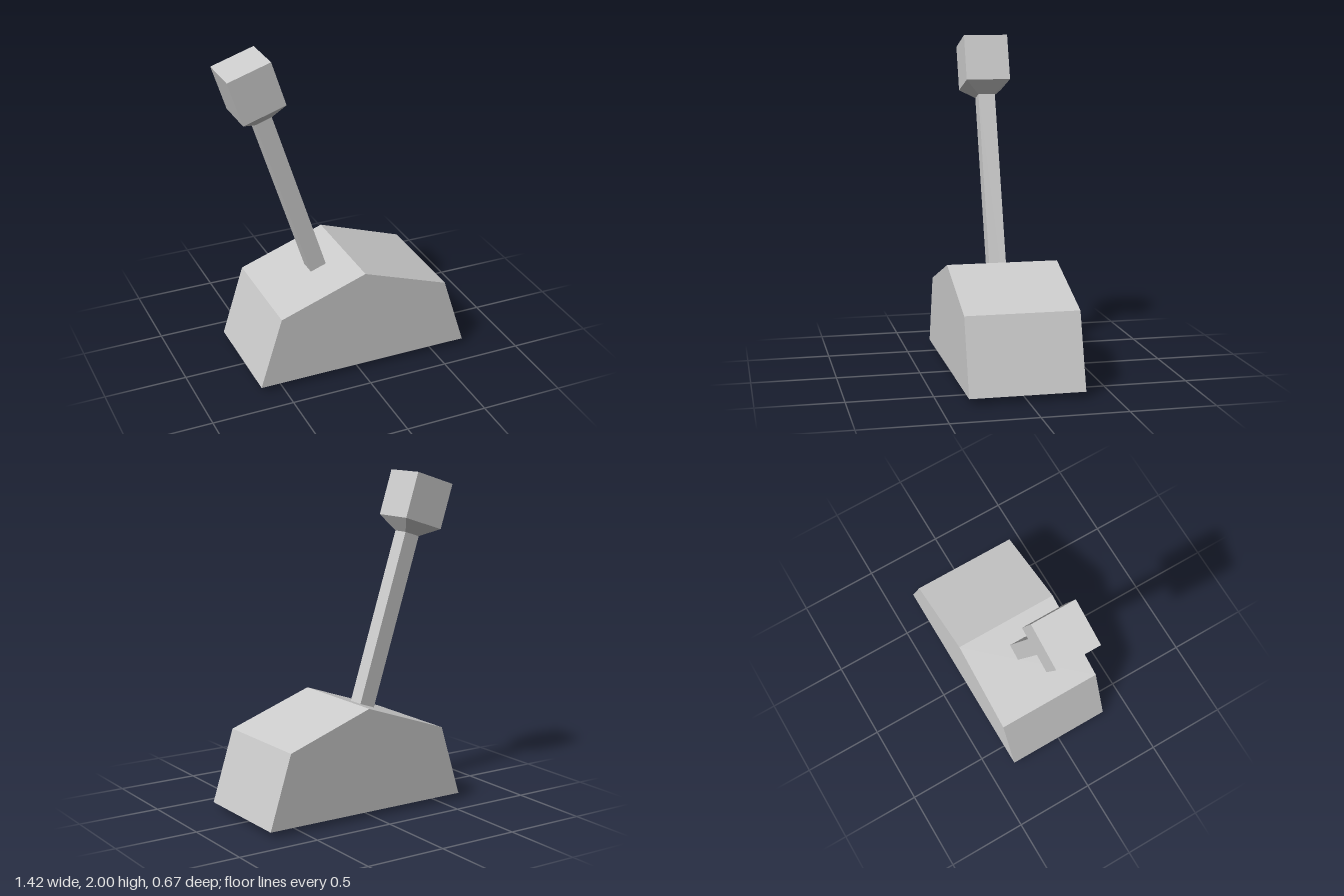
import * as THREE from 'three';

export function createModel() {
  const model = new THREE.Group();
  model.name = 'leverSwitch';
  const grey = new THREE.MeshStandardMaterial({ color: 0xcccccc, flatShading: true, side: THREE.DoubleSide });
  grey.name = 'lightGrey';

  const add = (parent, name, geometry) => {
    const mesh = new THREE.Mesh(geometry, grey);
    mesh.name = name;
    parent.add(mesh);
    return mesh;
  };
  const faceted = (geometry) => {
    const flat = geometry.toNonIndexed();
    flat.computeVertexNormals();
    return flat;
  };

  // Housing: hollow shell, open underneath
  const housing = new THREE.Group();
  housing.name = 'housing';
  model.add(housing);
  const halfDepth = 0.336;
  const outline = [[-0.637, 0.037], [-0.5, 0.474], [0.034, 0.661], [0.568, 0.474], [0.706, 0.037]]
    .map(([x, y]) => new THREE.Vector2(x, y));

  // Sloping ends and roof: a strip folded along the outline
  const strip = new THREE.PlaneGeometry(1, 2 * halfDepth, outline.length - 1, 1);
  strip.rotateX(-Math.PI / 2);
  const position = strip.attributes.position;
  for (let i = 0; i < position.count; i++) {
    const p = outline[i % outline.length];
    position.setXY(i, p.x, p.y);
  }
  add(housing, 'housingRoofAndEnds', faceted(strip));

  // Front and back walls
  const wall = new THREE.ShapeGeometry(new THREE.Shape(outline));
  add(housing, 'housingFront', wall).position.z = halfDepth;
  const back = wall.clone();
  back.setIndex([...wall.index.array].reverse());
  back.computeVertexNormals();
  add(housing, 'housingBack', back).position.z = -halfDepth;

  // Lever: square sections stacked along a leaning axis
  const lever = new THREE.Group();
  lever.name = 'lever';
  lever.position.set(0.037, 0.017, 0);
  lever.rotation.z = THREE.MathUtils.degToRad(17.7);
  model.add(lever);
  const square = (profile) => faceted(new THREE.LatheGeometry(
    profile.map(([half, y]) => new THREE.Vector2(half * Math.SQRT2, y)), 4, Math.PI / 4));

  const shaftTop = 1.682, knobBase = 1.755, knobTop = 2.037;
  add(lever, 'shaft', square([[0.052, 0], [0.052, shaftTop]]));
  add(lever, 'collar', square([[0.052, shaftTop], [0.136, knobBase]]));
  add(lever, 'knob', square([[0.136, knobBase], [0.136, knobTop], [0, knobTop]]));

  return model;
}
